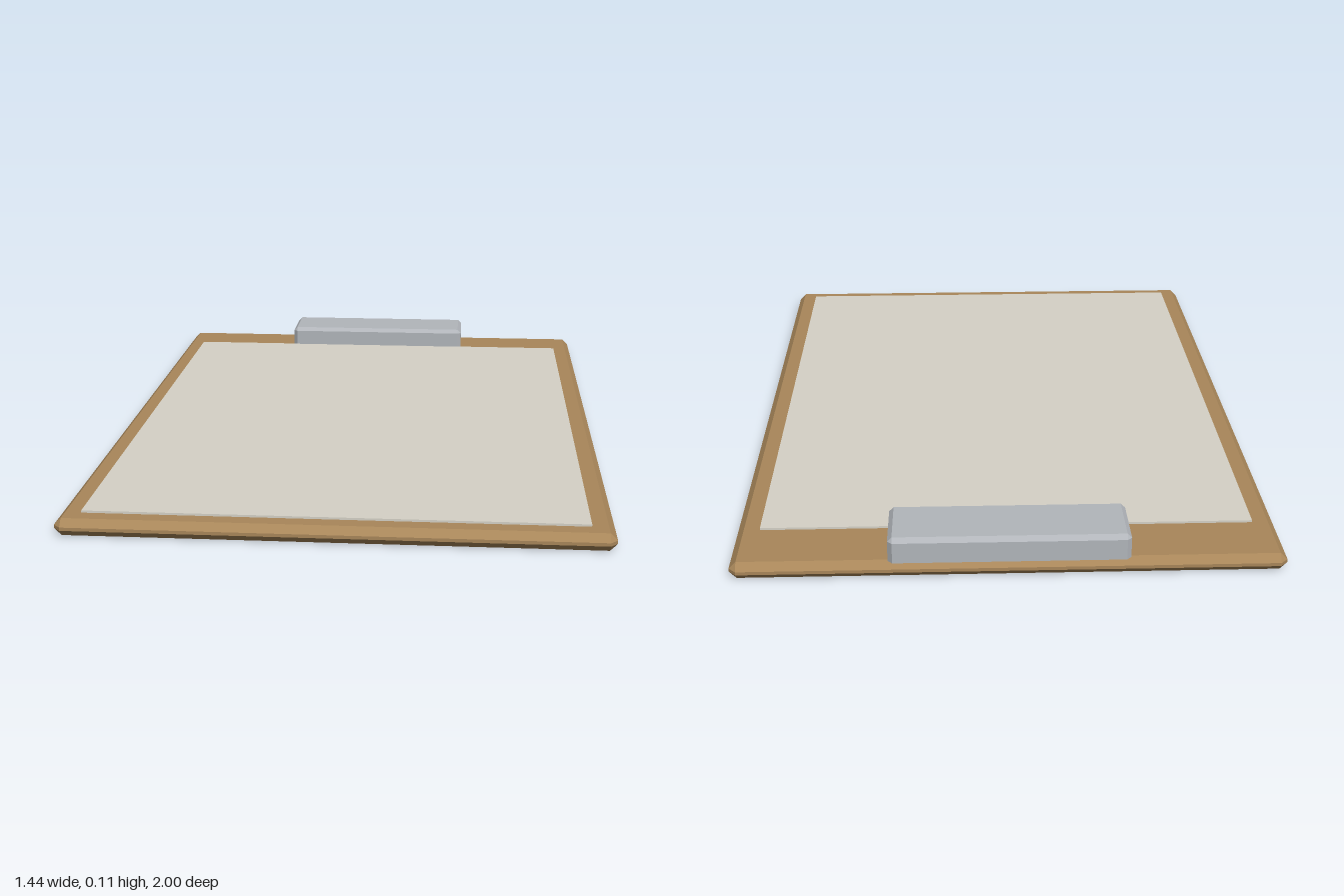
import * as THREE from 'three';
import { ConvexGeometry } from 'three/addons/geometries/ConvexGeometry.js';

const material = (name, color) => {
  const m = new THREE.MeshStandardMaterial({ color });
  m.name = name;
  return m;
};

// Box standing on y = 0 with flat chamfers; the bottom edges may stay square.
function chamferedBox(w, h, d, bevel, squareBottom = false) {
  const points = [];
  for (const sx of [-1, 1]) for (const sz of [-1, 1]) for (const top of [false, true]) {
    const by = squareBottom && !top ? 0 : bevel;
    const y = top ? h : 0;
    const inY = top ? h - by : by;
    const x = w / 2, z = d / 2;
    points.push(new THREE.Vector3(sx * x, inY, sz * (z - bevel)));
    points.push(new THREE.Vector3(sx * (x - bevel), inY, sz * z));
    if (by > 0) points.push(new THREE.Vector3(sx * (x - bevel), y, sz * (z - bevel)));
  }
  return new ConvexGeometry(points);
}

export function createModel() {
  const group = new THREE.Group();
  group.name = 'clipboard';
  const wood = material('wood brown', 0xa9875a);
  const paperWhite = material('paper off-white', 0xd6d2c7);
  const metal = material('metal grey', 0xb2b6bb);

  const add = (name, geometry, mat, y, z) => {
    const mesh = new THREE.Mesh(geometry, mat);
    mesh.name = name;
    mesh.position.set(0, y, z);
    group.add(mesh);
  };

  // Backing board with chamfered edges
  add('board', chamferedBox(1.436, 0.047, 2, 0.019), wood, 0, 0);
  // Sheet of paper lying on the board
  add('paper', new THREE.BoxGeometry(1.312, 0.008, 1.76), paperWhite, 0.049, 0.06);
  // Metal clip at the back edge
  add('clip', chamferedBox(0.624, 0.069, 0.182, 0.012, true), metal, 0.046, -0.908);

  return group;
}
